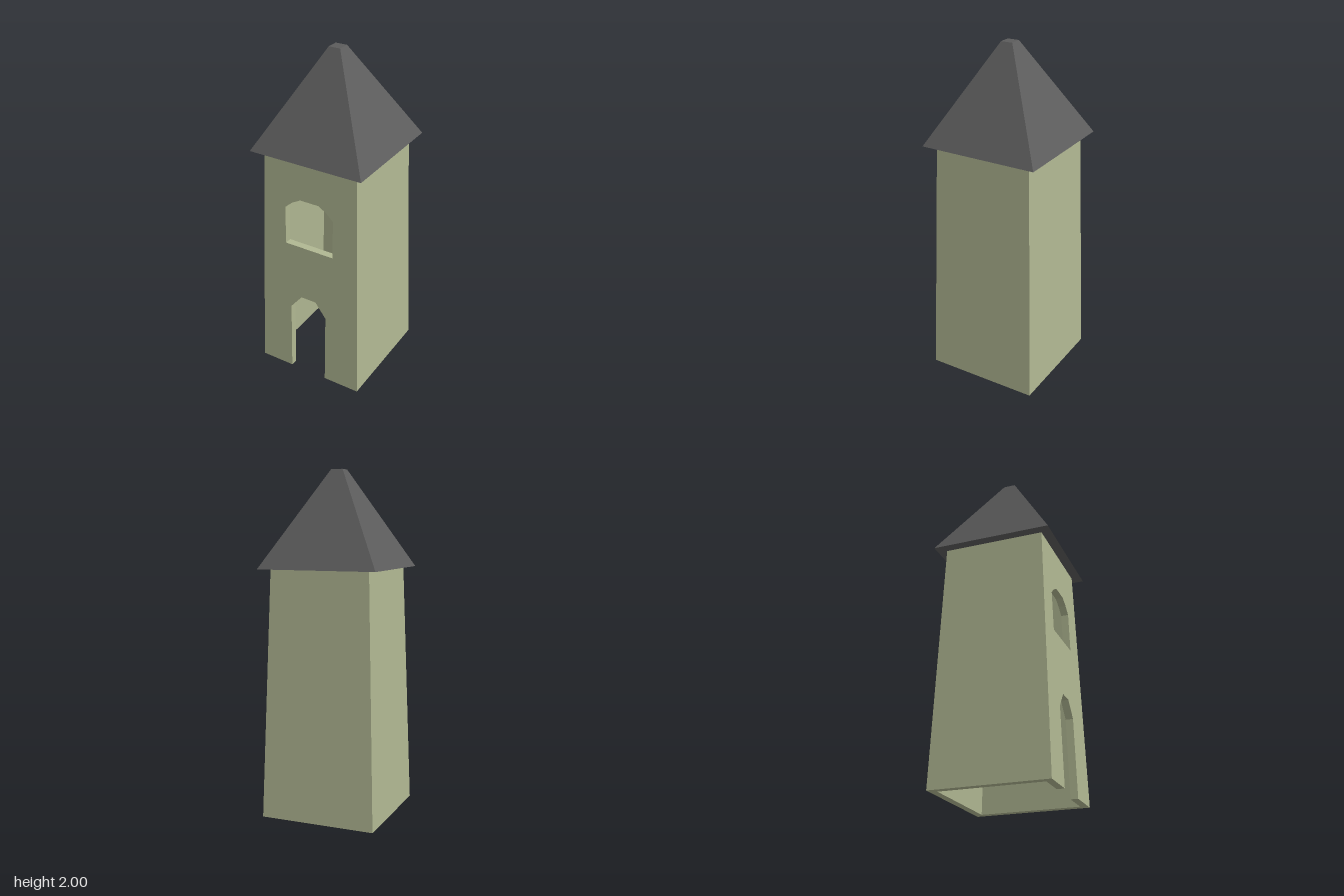
import * as THREE from 'three';

const EAVES = 1.44, THICK = 0.043;
// Half width of the tapering tower at height y
const half = (y) => 0.34 - (0.34 - 0.295) * (y / EAVES);
const points = (list) => list.map(([x, y]) => new THREE.Vector2(x, y));

// One leaning wall with mitred ends, facing +z
function wallGeometry(footNotch, holes) {
  const shape = new THREE.Shape(points([
    [-half(0), 0], ...footNotch, [half(0), 0], [half(EAVES), EAVES], [-half(EAVES), EAVES],
  ]));
  holes.forEach((h) => shape.holes.push(new THREE.Path(points(h))));
  const geo = new THREE.ExtrudeGeometry(shape, { depth: THICK, bevelEnabled: false });
  const p = geo.attributes.position;
  for (let i = 0; i < p.count; i++) {
    const z = half(p.getY(i)) - THICK + p.getZ(i);
    p.setX(i, THREE.MathUtils.clamp(p.getX(i), -z, z));
    p.setZ(i, z);
  }
  geo.computeVertexNormals();
  return geo;
}

export function createModel() {
  const tower = new THREE.Group();
  tower.name = 'tower';
  const stone = new THREE.MeshStandardMaterial({ color: 0xb0b792, flatShading: true });
  const slate = new THREE.MeshStandardMaterial({ color: 0x5c5c5c, flatShading: true });

  // Doorway is cut up from the foot of the front wall, the window is a hole
  const door = [[-0.128, 0], [-0.128, 0.45], [-0.055, 0.54], [0.043, 0.54], [0.112, 0.45], [0.112, 0]];
  const window = [
    [-0.16, 0.885], [-0.16, 1.12], [-0.115, 1.16], [-0.06, 1.19],
    [0.06, 1.19], [0.11, 1.16], [0.154, 1.12], [0.154, 0.885],
  ];

  // Four walls around an open, floorless interior
  ['frontWall', 'leftWall', 'backWall', 'rightWall'].forEach((name, i) => {
    const geo = i === 0 ? wallGeometry(door, [window]) : wallGeometry([], []);
    const wall = new THREE.Mesh(geo, stone);
    wall.name = name;
    wall.rotation.y = (i * Math.PI) / 2;
    tower.add(wall);
  });

  // Four-sided roof with a small flat top
  const roofGeo = new THREE.CylinderGeometry(0.035 * Math.SQRT2, 0.352 * Math.SQRT2, 2 - EAVES, 4, 1);
  roofGeo.rotateY(Math.PI / 4);
  const roof = new THREE.Mesh(roofGeo, slate);
  roof.name = 'roof';
  roof.position.y = (2 + EAVES) / 2;
  tower.add(roof);

  return tower;
}
